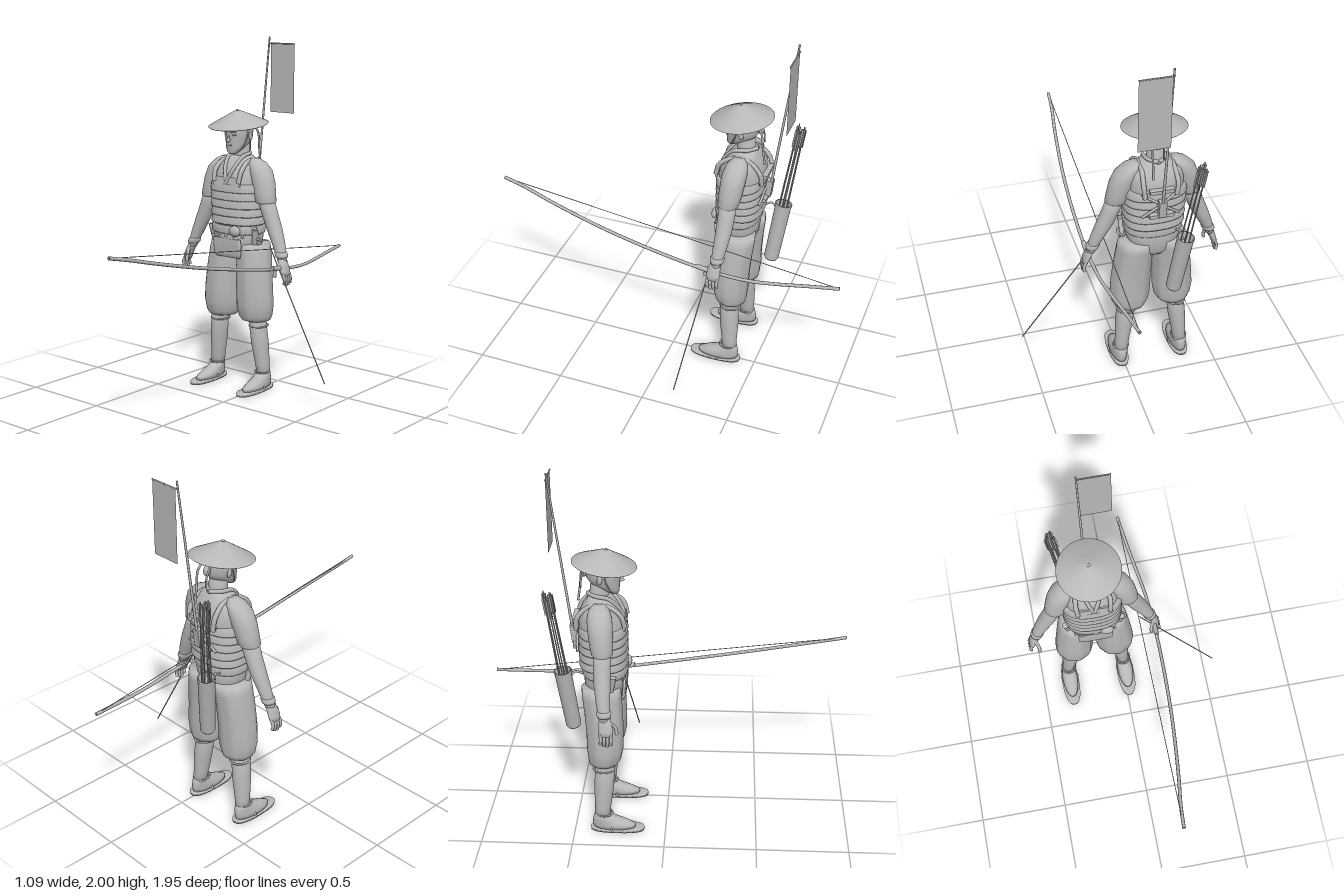
import * as THREE from 'three';

const grey = new THREE.MeshStandardMaterial({ color: 0xb8b8b8, side: THREE.DoubleSide });
grey.name = 'plain grey';
const V = (p) => new THREE.Vector3(...p);

function add(parent, name, geometry, pos = [0, 0, 0], rot = [0, 0, 0], scale = [1, 1, 1]) {
  const mesh = new THREE.Mesh(geometry, grey);
  mesh.name = name;
  mesh.position.set(...pos);
  mesh.rotation.set(...rot);
  mesh.scale.set(...scale);
  parent.add(mesh);
  return mesh;
}

// Closed skin over horizontal rings, bottom to top: [y, rx, rz, cx, cz]
function loft(rings, { n = 28, square = 1, folds = 0, depth = 0 } = {}) {
  const pos = [], idx = [];
  const wrap = (v) => Math.sign(v) * Math.abs(v) ** square;
  rings.forEach(([y, rx, rz, cx = 0, cz = 0]) => {
    for (let i = 0; i < n; i++) {
      const a = (i / n) * Math.PI * 2, k = 1 + depth * Math.cos(folds * a);
      pos.push(cx + rx * k * wrap(Math.cos(a)), y, cz + rz * k * wrap(Math.sin(a)));
    }
  });
  for (let r = 0; r < rings.length - 1; r++) {
    for (let i = 0; i < n; i++) {
      const a = r * n + i, b = r * n + (i + 1) % n;
      idx.push(a, a + n, b, b, a + n, b + n);
    }
  }
  const top = rings.length - 1;
  [0, top].forEach((r, end) => {
    const [y, , , cx = 0, cz = 0] = rings[r], c = pos.length / 3;
    pos.push(cx, y, cz);
    for (let i = 0; i < n; i++) {
      const a = r * n + i, b = r * n + (i + 1) % n;
      end ? idx.push(c, b, a) : idx.push(c, a, b);
    }
  });
  const g = new THREE.BufferGeometry();
  g.setAttribute('position', new THREE.Float32BufferAttribute(pos, 3));
  g.setIndex(idx);
  g.computeVertexNormals();
  return g;
}

const tube = (pts, r, seg = 24) => new THREE.TubeGeometry(new THREE.CatmullRomCurve3(pts.map(V)), seg, r, 8);

// Straight tapered rod between two points
function rod(parent, name, a, b, ra, rb = ra, sides = 10) {
  const d = V(b).sub(V(a));
  const m = add(parent, name, new THREE.CylinderGeometry(rb, ra, d.length(), sides));
  m.position.copy(V(a)).addScaledVector(d, 0.5);
  m.quaternion.setFromUnitVectors(new THREE.Vector3(0, 1, 0), d.normalize());
  return m;
}

function buildHead(body) {
  add(body, 'neck', loft([[1.28, 0.06, 0.055, 0, -0.03], [1.34, 0.048, 0.05, 0, -0.025], [1.44, 0.047, 0.05, 0, -0.015]]));
  add(body, 'head', loft([[1.358, 0.02, 0.018, 0, 0.06], [1.368, 0.035, 0.03, 0, 0.052], [1.39, 0.052, 0.05, 0, 0.035],
    [1.42, 0.064, 0.078, 0, 0.008], [1.45, 0.07, 0.09, 0, 0], [1.49, 0.073, 0.095, 0, 0],
    [1.53, 0.068, 0.088, 0, -0.002], [1.56, 0.05, 0.065], [1.572, 0.02, 0.03]]));
  const nose = new THREE.ConeGeometry(0.014, 0.05, 8);
  add(body, 'nose', nose, [0, 1.452, 0.092], [-0.25, 0, 0], [0.9, 1, 1]);
  add(body, 'lips', new THREE.SphereGeometry(0.02, 12, 8), [0, 1.408, 0.078], [0, 0, 0], [1, 0.35, 0.5]);
  for (const s of [-1, 1]) {
    add(body, 'eye', new THREE.SphereGeometry(0.013, 12, 8), [s * 0.029, 1.468, 0.08], [0, s * 0.35, 0], [1.1, 0.5, 0.6]);
    rod(body, 'brow', [s * 0.012, 1.482, 0.093], [s * 0.045, 1.487, 0.076], 0.005, 0.003);
    add(body, 'ear', new THREE.SphereGeometry(0.022, 12, 10), [s * 0.073, 1.455, -0.012], [0.15, 0, 0], [0.35, 1.15, 0.65]);
    add(body, 'chinStrap', tube([[s * 0.068, 1.53, 0], [s * 0.07, 1.44, 0.02], [s * 0.045, 1.38, 0.045], [0, 1.358, 0.06]], 0.004));
  }
  add(body, 'hairKnot', new THREE.SphereGeometry(0.025, 14, 10), [0, 1.475, -0.095], [0.3, 0, 0], [0.8, 1.2, 0.8]);
  add(body, 'hangingCord', tube([[0.035, 1.51, -0.085], [0.045, 1.47, -0.115], [0.045, 1.38, -0.127], [0.045, 1.29, -0.14]], 0.006));
  add(body, 'hangingCord', tube([[-0.02, 1.5, -0.09], [-0.015, 1.45, -0.112], [-0.015, 1.39, -0.118]], 0.005));

  // Shallow conical hat, dipped towards the front
  const hat = new THREE.Group();
  hat.name = 'hat';
  hat.position.set(0, 1.519, 0.006);
  hat.rotation.x = 0.127;
  const p = [[0.166, -0.004], [0.171, 0], [0.12, 0.026], [0.06, 0.057], [0.02, 0.077], [0, 0.08]];
  add(hat, 'hatCone', new THREE.LatheGeometry(p.map((q) => new THREE.Vector2(...q)), 48));
  add(hat, 'hatKnob', new THREE.SphereGeometry(0.009, 12, 8), [0, 0.081, 0], [0, 0, 0], [1, 0.7, 1]);
  add(hat, 'hatLining', new THREE.TorusGeometry(0.075, 0.009, 8, 32), [0, 0.02, 0], [Math.PI / 2, 0, 0]);
  body.add(hat);
}

function buildTorso(body) {
  add(body, 'shirt', loft([[0.94, 0.145, 0.112], [1.02, 0.15, 0.12], [1.17, 0.152, 0.125, 0, -0.008], [1.24, 0.15, 0.12, 0, -0.017],
    [1.29, 0.14, 0.095, 0, -0.018], [1.32, 0.105, 0.072, 0, -0.018], [1.345, 0.055, 0.055, 0, -0.025]], { square: 0.85 }));
  add(body, 'hips', loft([[0.765, 0.085, 0.085], [0.8, 0.125, 0.105], [0.87, 0.146, 0.113], [0.96, 0.15, 0.113]], { square: 0.85 }));
  // Overlapping rows of the cuirass
  for (let i = 0; i < 5; i++) {
    const y = 0.96 + i * 0.046, w = 0.155 + i * 0.002;
    add(body, 'armourRow', loft([[y, w + 0.007, 0.129, 0, -0.006], [y + 0.006, w + 0.009, 0.131, 0, -0.006],
      [y + 0.04, w + 0.004, 0.127, 0, -0.006], [y + 0.048, w - 0.002, 0.121, 0, -0.006]], { n: 40, square: 0.8 }));
  }
  add(body, 'bib', new THREE.BoxGeometry(0.19, 0.05, 0.012), [0, 1.205, 0.108], [-0.15, 0, 0]);
  add(body, 'belt', loft([[0.905, 0.152, 0.118], [0.912, 0.158, 0.123], [0.945, 0.158, 0.123], [0.952, 0.152, 0.118]], { square: 0.85 }));
  for (let i = -2; i <= 2; i++) {
    add(body, 'beltStud', new THREE.SphereGeometry(0.011, 10, 8), [i * 0.055, 0.9, 0.118 - Math.abs(i) * 0.008], [0, 0, 0], [1, 1, 0.5]);
  }
  add(body, 'roundPouch', new THREE.SphereGeometry(0.038, 20, 14), [0.065, 0.928, 0.118], [0, 0, 0], [1, 0.8, 0.55]);
  add(body, 'frontApron', loft([[0.77, 0.085, 0.012, 0, 0.095], [0.79, 0.095, 0.012, 0, 0.102], [0.88, 0.1, 0.01, 0, 0.109]], { square: 0.5 }));
  for (const s of [-1, 1]) {
    add(body, 'shoulderStrap', tube([[s * 0.088, 1.2, 0.115], [s * 0.094, 1.27, 0.093], [s * 0.086, 1.318, 0.02],
      [s * 0.086, 1.31, -0.07], [s * 0.092, 1.25, -0.132], [s * 0.085, 1.18, -0.14]], 0.013, 32));
    add(body, 'collar', tube([[0, 1.2, 0.112], [s * 0.028, 1.27, 0.09], [s * 0.05, 1.34, 0.03], [s * 0.048, 1.355, -0.04], [0, 1.352, -0.085]], 0.011, 32));
    add(body, 'backStrap', tube([[s * 0.1, 1.2, -0.13], [0, 1.13, -0.143], [-s * 0.1, 1.06, -0.135]], 0.007));
    rod(body, 'sideToggle', [s * 0.148, 0.85, 0.04], [s * 0.16, 0.94, 0.055], 0.014, 0.017);
  }
}

function buildLimbs(body, s) {
  const side = new THREE.Group();
  side.name = s > 0 ? 'leftLimbs' : 'rightLimbs';
  const ring = (rows, opt) => loft(rows.map(([y, rx, rz, cx, cz]) => [y, rx, rz, s * cx, cz]), opt);
  // Arm
  add(side, 'sleeve', ring([[1.09, 0.052, 0.048, 0.198, 0.005], [1.1, 0.061, 0.057, 0.198, 0.005], [1.15, 0.065, 0.062, 0.186, 0], [1.21, 0.07, 0.065, 0.17, -0.005],
    [1.27, 0.068, 0.066, 0.148, -0.01], [1.31, 0.052, 0.054, 0.122, -0.014], [1.332, 0.025, 0.03, 0.105, -0.016]]));
  add(side, 'forearm', ring([[0.775, 0.025, 0.03, 0.335, 0.025], [0.81, 0.029, 0.032, 0.323, 0.02], [0.88, 0.038, 0.038, 0.295, 0.013],
    [0.96, 0.046, 0.044, 0.259, 0.007], [1.04, 0.047, 0.046, 0.226, 0.005], [1.12, 0.048, 0.047, 0.198, 0.005]]));
  add(side, 'wristBand', ring([[0.8, 0.031, 0.034, 0.327, 0.021], [0.807, 0.035, 0.038, 0.324, 0.02], [0.822, 0.036, 0.039, 0.319, 0.019], [0.83, 0.032, 0.035, 0.316, 0.018]]));
  add(side, 'palm', ring([[0.705, 0.014, 0.034, 0.363, 0.03], [0.73, 0.018, 0.039, 0.357, 0.03], [0.765, 0.021, 0.034, 0.343, 0.027], [0.795, 0.024, 0.029, 0.33, 0.024]]));
  for (let i = 0; i < 4; i++) {
    const z = 0.056 - i * 0.018, tip = 0.643 + Math.abs(i - 1.3) * 0.01;
    add(side, 'finger', tube([[s * 0.36, 0.72, z], [s * 0.375, 0.685, z + 0.002], [s * 0.37, tip, z]], 0.0085, 10));
  }
  add(side, 'thumb', tube([[s * 0.34, 0.77, 0.05], [s * 0.325, 0.735, 0.078], [s * 0.325, 0.695, 0.085]], 0.01, 10));
  // Leg
  add(side, 'trouserLeg', ring([[0.395, 0.055, 0.055, 0.122, -0.01], [0.405, 0.085, 0.08, 0.122, -0.008], [0.43, 0.1, 0.09, 0.121, -0.003],
    [0.49, 0.11, 0.099, 0.12, 0], [0.58, 0.108, 0.1, 0.116, 0], [0.7, 0.103, 0.103, 0.107, -0.006],
    [0.8, 0.097, 0.105, 0.099, -0.015], [0.85, 0.088, 0.103, 0.095, -0.018]], { n: 48, folds: 9, depth: 0.015 }));
  add(side, 'shin', ring([[0.07, 0.037, 0.042, 0.172, -0.02], [0.14, 0.039, 0.044, 0.166, -0.015], [0.26, 0.048, 0.054, 0.154, -0.008], [0.41, 0.05, 0.053, 0.138, 0]]));
  for (const [y, x, r] of [[0.1, 0.17, 0.041], [0.37, 0.142, 0.052]]) {
    add(side, 'legTie', new THREE.TorusGeometry(r, 0.005, 8, 28), [s * x, y, -0.008], [Math.PI / 2, 0, 0], [1, 1.08, 1]);
  }
  add(side, 'foot', ring([[0.014, 0.044, 0.115, 0.174, 0.05], [0.035, 0.046, 0.117, 0.174, 0.045], [0.055, 0.043, 0.095, 0.173, 0.023],
    [0.075, 0.04, 0.065, 0.172, -0.004], [0.1, 0.037, 0.045, 0.171, -0.017]]));
  add(side, 'sandal', ring([[0, 0.05, 0.148, 0.174, 0.064], [0.016, 0.052, 0.149, 0.174, 0.064]], { square: 0.8 }));
  add(side, 'sandalStrap', tube([[s * 0.125, 0.015, 0.03], [s * 0.145, 0.056, 0.05], [s * 0.174, 0.06, 0.07], [s * 0.203, 0.056, 0.05], [s * 0.223, 0.015, 0.03]], 0.006));
  body.add(side);
}

function buildGear(root) {
  // Banner on a leaning pole
  const banner = new THREE.Group();
  banner.name = 'banner';
  rod(banner, 'bannerPole', [-0.161, 1.07, -0.49], [-0.161, 2, -0.606], 0.008, 0.005);
  rod(banner, 'bannerBar', [-0.165, 1.962, -0.61], [0.013, 1.962, -0.61], 0.004);
  add(banner, 'bannerCloth', new THREE.PlaneGeometry(0.168, 0.392), [-0.071, 1.764, -0.611]);
  add(banner, 'poleSocket', new THREE.BoxGeometry(0.04, 0.1, 0.035), [-0.161, 1.12, -0.49], [-0.12, 0, 0]);
  for (const y of [1.07, 1.22]) add(banner, 'poleBracket', new THREE.BoxGeometry(0.13, 0.02, 0.03), [-0.161, y, -0.478]);
  root.add(banner);

  // Quiver and arrows hang behind the right hip
  const quiver = new THREE.Group();
  quiver.name = 'quiver';
  quiver.position.set(-0.232, 0.595, -0.502);
  const axis = new THREE.Vector3(-0.1, 0.82, -0.1);
  quiver.quaternion.setFromUnitVectors(new THREE.Vector3(0, 1, 0), axis.normalize());
  const profile = [[0, 0], [0.034, 0], [0.041, 0.012], [0.045, 0.35], [0.048, 0.352], [0.048, 0.362], [0.04, 0.362], [0.038, 0.3], [0, 0.3]];
  add(quiver, 'quiverCase', new THREE.LatheGeometry(profile.map((q) => new THREE.Vector2(...q)), 24));
  for (let i = 0; i < 6; i++) {
    const a = i * 1.047, c = Math.cos(a), d = Math.sin(a), h = 0.8 + (i % 3) * 0.015;
    rod(quiver, 'arrowShaft', [c * 0.026, 0.25, d * 0.026], [c * 0.02, h + 0.02, d * 0.02], 0.0035, 0.0035, 6);
    for (let f = 0; f < 3; f++) {
      add(quiver, 'arrowFeather', new THREE.BoxGeometry(0.024, 0.1, 0.001), [c * 0.02, h - 0.045, d * 0.02], [0, a + f * Math.PI / 3, 0]);
    }
  }
  root.add(quiver);
  add(root, 'quiverCord', tube([[-0.26, 0.93, -0.44], [-0.27, 0.945, -0.48], [-0.275, 0.91, -0.51]], 0.006));

  // Long asymmetric bow gripped in the left hand
  const bow = new THREE.Group();
  bow.name = 'bow';
  const tips = [[0.096, 1, 0.972], [0.096, 0.752, -0.972]];
  add(bow, 'bowLimb', tube([tips[0], [0.105, 0.972, 0.85], [0.13, 0.926, 0.67], [0.163, 0.852, 0.35], [0.18, 0.79, 0.03],
    [0.182, 0.745, -0.25], [0.168, 0.724, -0.48], [0.147, 0.725, -0.62], [0.116, 0.74, -0.82], tips[1]], 0.0095, 80));
  rod(bow, 'bowString', tips[0], tips[1], 0.0022, 0.0022, 6);
  rod(bow, 'bowGrip', [0.184, 0.757, -0.2], [0.182, 0.738, -0.32], 0.013);
  root.add(bow);

  // Held arrow pointing down and outward
  rod(root, 'heldArrow', [0.1, 0.855, -0.285], [0.543, 0.168, -0.205], 0.0035, 0.0035, 6);
  // Short blade tucked into the left hip
  rod(root, 'bladeHilt', [0.0, 0.95, -0.27], [0.0, 0.84, -0.32], 0.014, 0.012);
  add(root, 'bladeGuard', new THREE.TorusGeometry(0.024, 0.006, 8, 20), [0, 0.875, -0.304], [1.1, 0, 0]);
}

export function createModel() {
  const root = new THREE.Group();
  root.name = 'archer';
  const body = new THREE.Group();
  body.name = 'body';
  body.position.set(-0.161, 0, -0.33);
  buildHead(body);
  buildTorso(body);
  for (const s of [-1, 1]) buildLimbs(body, s);
  root.add(body);
  buildGear(root);
  return root;
}
